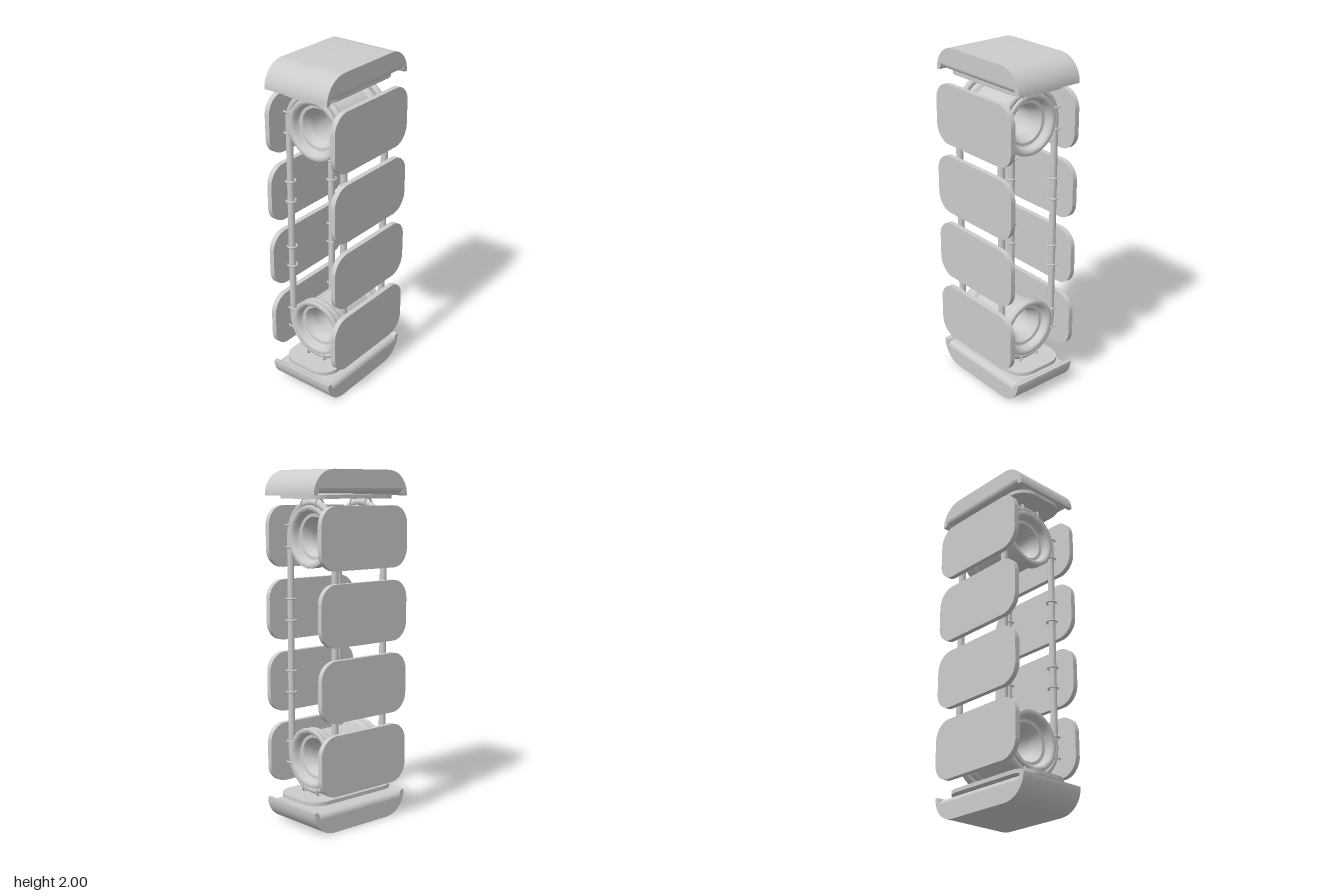
import * as THREE from 'three';
import { toCreasedNormals } from 'three/addons/utils/BufferGeometryUtils.js';

const MID = 1.01;        // centre height of the belt
const AXLE = 0.625;      // spool distance from the centre
const ROPE_R = 0.188;    // rope loop radius around a spool
const ROPE_Z = 0.182;
const material = new THREE.MeshStandardMaterial({ color: 0xcccccc, side: THREE.DoubleSide });

function add(parent, name, geometry, x = 0, y = 0, z = 0) {
  const mesh = new THREE.Mesh(geometry, material);
  mesh.name = name;
  mesh.position.set(x, y, z);
  parent.add(mesh);
  return mesh;
}

function extrude(shape, depth) {
  const geo = new THREE.ExtrudeGeometry(shape, { depth, bevelEnabled: false, curveSegments: 12 });
  geo.translate(0, 0, -depth / 2);
  return toCreasedNormals(geo, 0.6);
}

// Rounded rectangle slab, thin along x, long along z
function plateGeometry(height, thickness) {
  const w = 0.32, h = height / 2, r = 0.105;
  const s = new THREE.Shape();
  s.absarc(w - r, h - r, r, 0, Math.PI / 2);
  s.absarc(-w + r, h - r, r, Math.PI / 2, Math.PI);
  s.absarc(-w + r, -h + r, r, Math.PI, Math.PI * 1.5);
  s.absarc(w - r, -h + r, r, Math.PI * 1.5, Math.PI * 2);
  s.closePath();
  return extrude(s, thickness).rotateY(Math.PI / 2);
}

// Hollow flanged spool, mirrored about its middle
function spoolGeometry() {
  const outer = [[0.15, 0.135], [0.168, 0.145], [0.172, 0.155], [0.168, 0.17], [0.168, 0.19],
    [0.174, 0.2], [0.171, 0.209], [0.163, 0.212], [0.148, 0.21]];
  const inner = [[0.14, 0.2], [0.137, 0.18], [0.13, 0.166], [0.12, 0.164], [0.112, 0.165],
    [0.104, 0.155], [0.098, 0.135], [0.088, 0.12], [0.085, 0.1]];
  const half = [...outer, ...inner];
  const low = half.map(([r, y]) => [r, -y]).reverse();
  const loop = [...half, ...low, half[0]].map(([r, y]) => new THREE.Vector2(r, y));
  return toCreasedNormals(new THREE.LatheGeometry(loop, 48).rotateX(Math.PI / 2), 0.8);
}

// Rope loop: two straights joined by half circles
function ropeGeometry() {
  const pts = [];
  for (const side of [1, -1]) {
    for (let i = 0; i <= 16; i++) {
      const a = (i / 16) * Math.PI + (side > 0 ? 0 : Math.PI);
      pts.push(new THREE.Vector3(Math.cos(a) * ROPE_R, side * AXLE + Math.sin(a) * ROPE_R, 0));
    }
    for (let i = 1; i < 12; i++) {
      pts.push(new THREE.Vector3(-side * ROPE_R, side * AXLE * (1 - i / 6), 0));
    }
  }
  return new THREE.TubeGeometry(new THREE.CatmullRomCurve3(pts, true), 180, 0.0195, 14, true);
}

// Bottom end cap, with curved ends, raised lips and a round-edged core
function makeCap() {
  const cap = new THREE.Group();
  const s = new THREE.Shape();
  s.moveTo(-0.2, 0);
  s.lineTo(0.2, 0);
  s.bezierCurveTo(0.285, 0, 0.34, 0.06, 0.345, 0.125);
  s.lineTo(0.345, 0.14);
  s.lineTo(0.325, 0.14);
  s.quadraticCurveTo(0.312, 0.135, 0.31, 0.1);
  s.lineTo(-0.31, 0.1);
  s.quadraticCurveTo(-0.312, 0.135, -0.325, 0.14);
  s.lineTo(-0.345, 0.14);
  s.lineTo(-0.345, 0.125);
  s.bezierCurveTo(-0.34, 0.06, -0.285, 0, -0.2, 0);
  add(cap, 'capShell', extrude(s, 0.416).rotateY(Math.PI / 2));

  const c = new THREE.Shape();
  c.moveTo(-0.208, 0.095);
  c.lineTo(0.208, 0.095);
  c.quadraticCurveTo(0.205, 0.13, 0.165, 0.13);
  c.lineTo(-0.165, 0.13);
  c.quadraticCurveTo(-0.205, 0.13, -0.208, 0.095);
  add(cap, 'capCore', extrude(c, 0.622));
  return cap;
}

export function createModel() {
  const model = new THREE.Group();
  model.name = 'conveyor';

  const spool = spoolGeometry();
  const rope = ropeGeometry();
  const sidePlate = plateGeometry(0.345, 0.03);
  const endPlate = plateGeometry(0.345, 0.022).rotateZ(Math.PI / 2);
  const sideClip = new THREE.TorusGeometry(0.028, 0.0055, 8, 24).rotateX(Math.PI / 2);
  const endClip = new THREE.TorusGeometry(0.028, 0.0055, 8, 24).rotateY(Math.PI / 2);

  for (const s of [1, -1]) {
    const end = s > 0 ? 'upper' : 'lower';
    add(model, end + 'Spool', spool, 0, MID + s * AXLE, 0);
    add(model, s > 0 ? 'frontRope' : 'backRope', rope, 0, MID, s * ROPE_Z);

    // End plate and the clips that hold it to the ropes
    add(model, end + 'EndPlate', endPlate, 0, MID + s * 0.844, 0);
    for (const x of [-0.06, 0.06]) {
      for (const z of [-ROPE_Z, ROPE_Z]) {
        add(model, end + 'EndClip', endClip, x, MID + s * 0.806, z);
      }
    }

    // Four plates along each side, with clips
    for (let i = 0; i < 4; i++) {
      const y = MID + (i - 1.5) * 0.4155;
      add(model, 'sidePlate', sidePlate, s * 0.222, y, 0);
      for (const dy of [-0.062, 0.062]) {
        for (const z of [-ROPE_Z, ROPE_Z]) {
          add(model, 'sideClip', sideClip, s * 0.187, y + dy, z);
        }
      }
    }

    // End caps, the upper one turned over
    const cap = makeCap();
    cap.name = end + 'Cap';
    if (s > 0) {
      cap.rotation.x = Math.PI;
      cap.position.y = 2;
    }
    model.add(cap);
  }
  return model;
}
